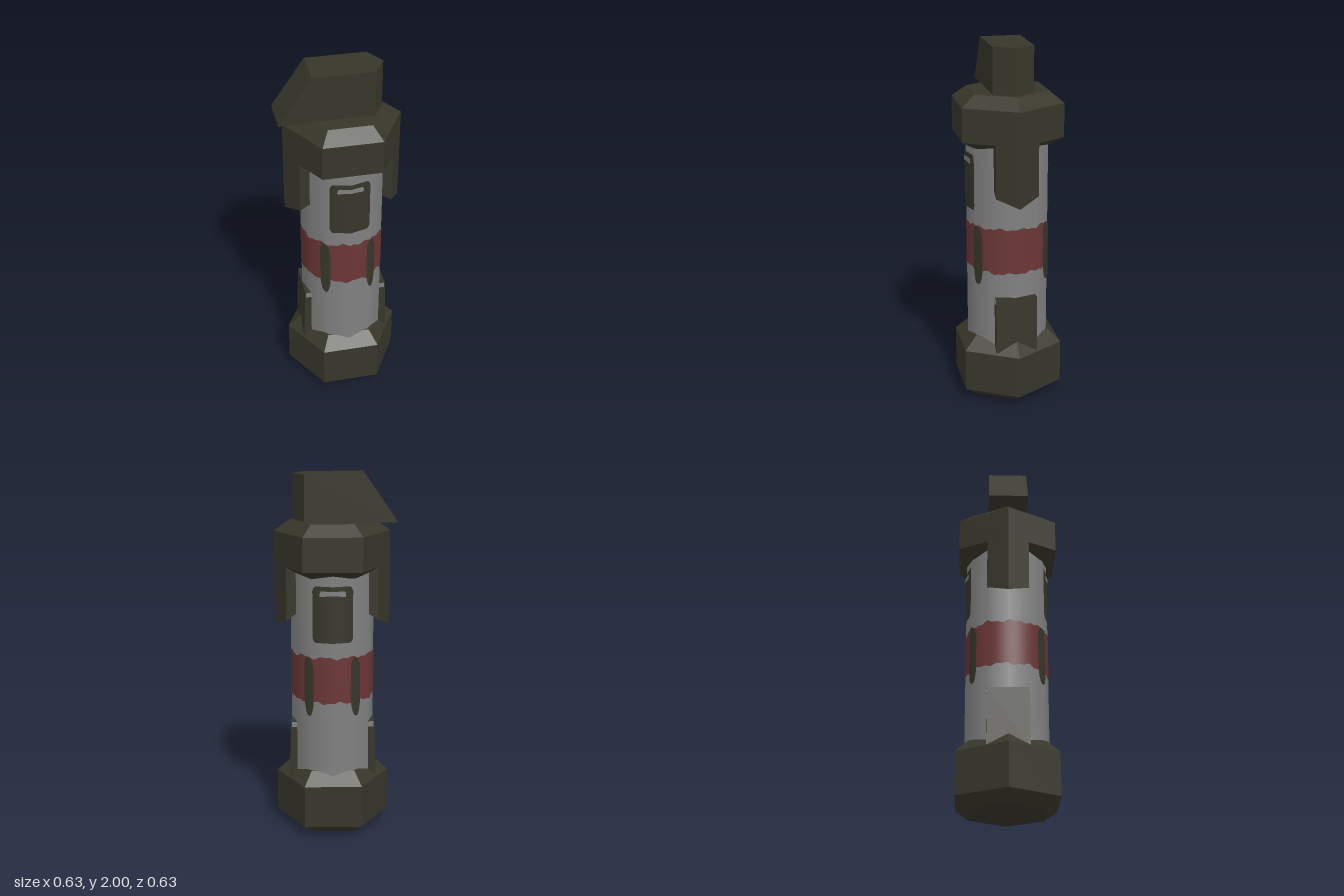
import * as THREE from 'three';

const R = 0.23; // body radius
const rad = THREE.MathUtils.degToRad;

// Flat-shaded solid through matching rings of [x, y, z], from bottom to top
function loft(rings) {
  const pos = [];
  const n = rings[0].length;
  const top = rings[rings.length - 1];
  for (let i = 0; i + 1 < rings.length; i++) {
    for (let j = 0; j < n; j++) {
      const k = (j + 1) % n;
      const a = rings[i][j], b = rings[i][k], c = rings[i + 1][k], d = rings[i + 1][j];
      pos.push(...a, ...d, ...c, ...a, ...c, ...b);
    }
  }
  for (let j = 1; j + 1 < n; j++) {
    pos.push(...rings[0][0], ...rings[0][j], ...rings[0][j + 1]);
    pos.push(...top[0], ...top[j + 1], ...top[j]);
  }
  const g = new THREE.BufferGeometry();
  g.setAttribute('position', new THREE.Float32BufferAttribute(pos, 3));
  g.computeVertexNormals();
  return g;
}

// Hexagonal ring with corners on the local x axis
function hexRing(r, y) {
  return Array.from({ length: 6 }, (_, i) => [r * Math.cos(rad(i * 60)), y, r * Math.sin(rad(i * 60))]);
}

// Painted skin following the twelve-sided body; lo and hi give its edges for s in -1..1
function patch(center, half, steps, lift, lo, hi) {
  const pos = [], nor = [], idx = [];
  for (let i = 0; i <= steps; i++) {
    const s = (2 * i) / steps - 1;
    const deg = center + s * half;
    const local = (((deg % 30) + 30) % 30) - 15;
    const r = R * Math.cos(rad(15)) / Math.cos(rad(local)) + lift;
    const c = Math.cos(rad(deg)), z = Math.sin(rad(deg));
    pos.push(r * c, lo(s), r * z, r * c, hi(s), r * z);
    nor.push(c, 0, z, c, 0, z);
    if (i < steps) {
      const a = i * 2;
      idx.push(a, a + 1, a + 3, a, a + 3, a + 2);
    }
  }
  const g = new THREE.BufferGeometry();
  g.setAttribute('position', new THREE.Float32BufferAttribute(pos, 3));
  g.setAttribute('normal', new THREE.Float32BufferAttribute(nor, 3));
  g.setIndex(idx);
  return g;
}

export function createModel() {
  const model = new THREE.Group();
  model.name = 'canister';
  const material = (name, color) => {
    const m = new THREE.MeshStandardMaterial({ color });
    m.name = name;
    return m;
  };
  const green = material('olive', 0x37362a);
  const grey = material('grey', 0x808080);
  const red = material('red', 0x6b3636);

  // Everything is laid out with the lever along local x, then turned
  const core = new THREE.Group();
  core.name = 'core';
  core.position.x = 0.04;
  core.rotation.y = rad(-150);
  model.add(core);
  const add = (name, geometry, mat, parent = core) => {
    const mesh = new THREE.Mesh(geometry, mat);
    mesh.name = name;
    parent.add(mesh);
    return mesh;
  };

  // Body tube
  add('body', new THREE.CylinderGeometry(R, R, 1.3, 12, 1, true), grey).position.y = 0.92;

  // Hexagonal end caps
  add('bottomCap', loft([hexRing(0.23, 0), hexRing(0.317, 0.06), hexRing(0.317, 0.3), hexRing(0.24, 0.37)]), green);
  add('topCap', loft([hexRing(0.235, 1.46), hexRing(0.317, 1.505), hexRing(0.317, 1.69), hexRing(0.232, 1.75)]), green);

  // Lever with a sloping nose
  const leverRing = (nose, y) => [[nose, y, -0.11], [nose, y, 0.11], [-0.15, y, 0.11], [-0.213, y, 0], [-0.15, y, -0.11]];
  add('lever', loft([leverRing(0.352, 1.745), leverRing(0.175, 2)]), green);

  // Wavy painted band
  const wave = (s) => 0.006 * Math.sin(s * 31) + 0.004 * Math.sin(s * 72 + 1);
  const wrap = (s) => wave(s) * Math.min(1, (1 - Math.abs(s)) * 12);
  add('band', patch(0, 180, 144, 0.002, (s) => 0.77 + wrap(s), (s) => 1.025 + wrap(-s)), red);

  // Details repeated on opposite sides
  for (const turn of [0, 180]) {
    const side = new THREE.Group();
    side.name = turn ? 'backDetails' : 'frontDetails';
    side.rotation.y = rad(turn);
    core.add(side);

    // Arm hanging from a corner of the top cap, cut at a slant
    const outline = [[0.19, -0.116], [0.25, -0.116], [0.317, 0], [0.25, 0.116], [0.19, 0.116]];
    const slant = (x) => 1.17 + (0.317 - x) * 0.66;
    add('capArm', loft([
      outline.map(([x, z]) => [x, slant(x), z]),
      outline.map(([x, z]) => [x, 1.6, z]),
    ]), green, side);

    // Tapered pad rising from the bottom cap, with a pale tip on its edges
    const padRing = (x, y) => [[0.19, y, -0.115], [x, y, -0.115], [x, y, 0.115], [0.19, y, 0.115]];
    add('pad', loft([padRing(0.245, 0.3), padRing(0.233, 0.63)]), green, side);
    const tip = add('padTip', new THREE.BoxGeometry(0.03, 0.03, 0.233), grey, side);
    tip.position.set(0.214, 0.614, 0);

    // Label plate with rounded corners and a slit
    const corner = (s, size) => size * Math.max(0, (Math.abs(s) - 0.85) / 0.15) ** 2;
    add('label', patch(-90, 28, 40, 0.005, (s) => 1.11 + corner(s, 0.025), (s) => 1.42 - corner(s, 0.025)), green, side);
    add('labelSlit', patch(-90, 18, 20, 0.008,
      (s) => 1.362 + 0.008 * (1 - s * s) + corner(s, 0.005),
      (s) => 1.395 - corner(s, 0.01)), grey, side);

    // Painted drips across the band
    for (const angle of [-55, -123]) {
      add('drip', patch(angle, 8, 12, 0.005,
        (s) => 0.69 + 0.08 * Math.abs(s) ** 3 + 0.01 * s,
        (s) => 1.025 - 0.05 * Math.abs(s) ** 3 + 0.01 * s), green, side);
    }
  }
  return model;
}
